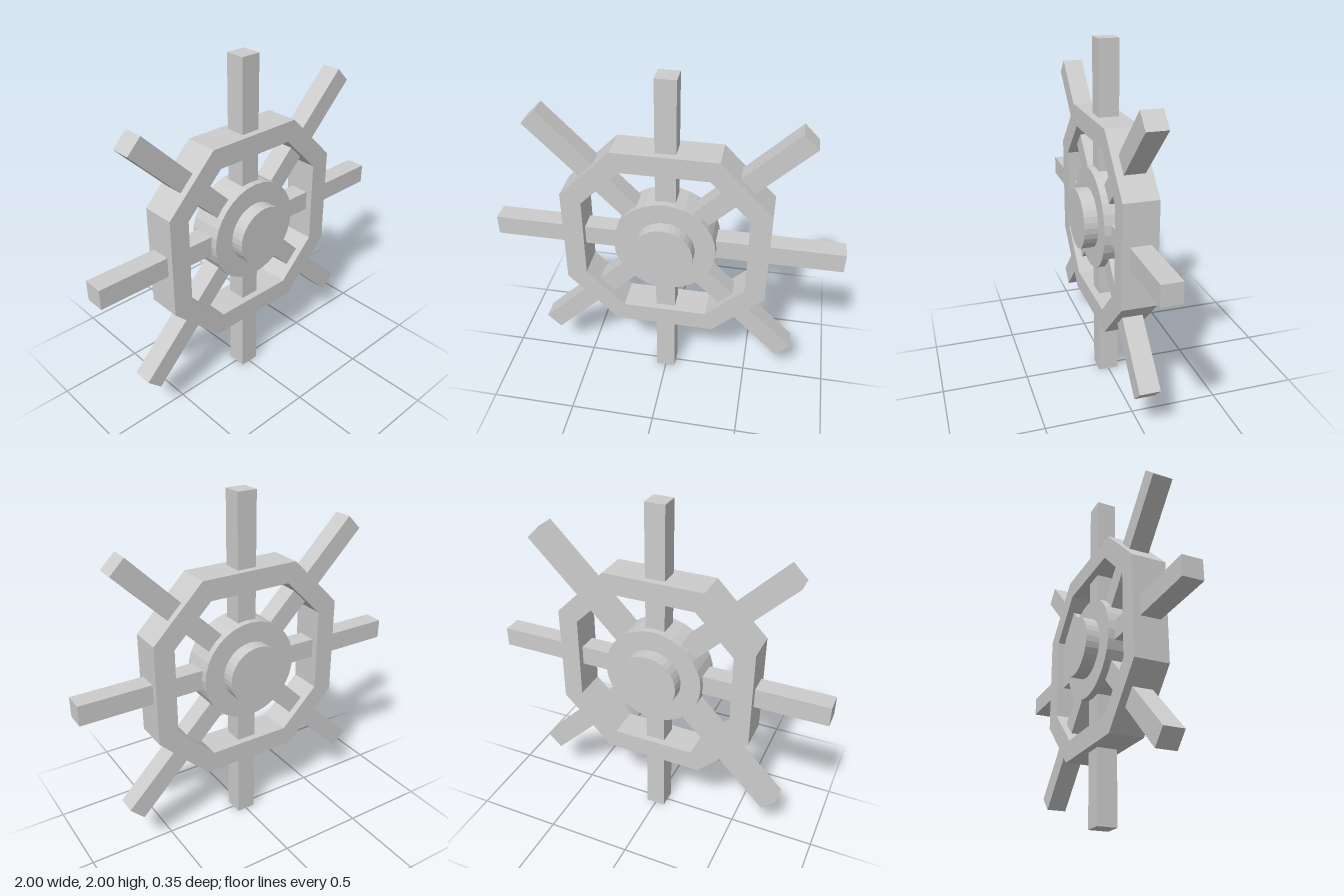
import * as THREE from 'three';

export function createModel() {
  const wheel = new THREE.Group();
  wheel.name = 'spokedWheel';
  wheel.position.y = 1;
  const material = new THREE.MeshStandardMaterial({ color: 0xcccccc, flatShading: true });

  const add = (name, geometry) => {
    const mesh = new THREE.Mesh(geometry, material);
    mesh.name = name;
    wheel.add(mesh);
    return mesh;
  };

  // Corners of a square with cut corners: half width a, half length b of the straight sides
  const octagon = (a, b) => [[a, -b], [a, b], [b, a], [-b, a], [-a, b], [-a, -b], [-b, -a], [b, -a]]
    .map(([x, y]) => new THREE.Vector2(x, y));

  // Eight-sided rim
  const rimDepth = 0.196;
  const rimShape = new THREE.Shape(octagon(0.587, 0.292));
  rimShape.holes.push(new THREE.Path(octagon(0.469, 0.246)));
  const rim = new THREE.ExtrudeGeometry(rimShape, { depth: rimDepth, bevelEnabled: false });
  add('rim', rim.translate(0, 0, -rimDepth / 2));

  // Four square bars through the centre make eight spokes with handles
  for (let i = 0; i < 4; i++) {
    const length = i % 2 ? 2.066 : 2;
    add('spokeBar', new THREE.BoxGeometry(length, 0.115, 0.115)).rotation.z = i * Math.PI / 4;
  }

  // Hub disc and the narrower axle through it
  const disc = (name, radius, depth) =>
    add(name, new THREE.CylinderGeometry(radius, radius, depth, 32).rotateX(Math.PI / 2));
  disc('hub', 0.291, 0.194);
  disc('axle', 0.173, 0.35);

  const model = new THREE.Group();
  model.name = 'wheelModel';
  model.add(wheel);
  return model;
}
